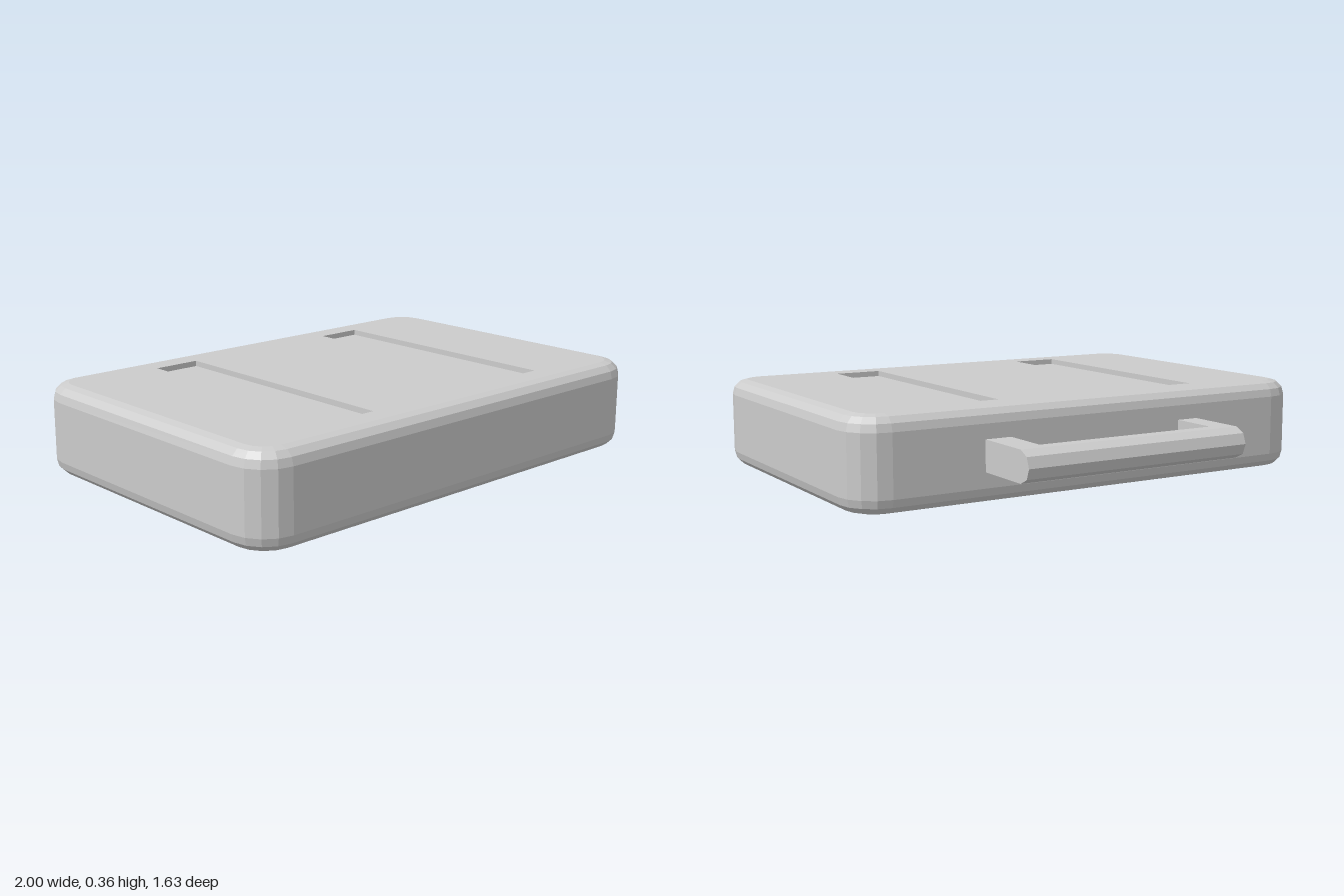
import * as THREE from 'three';

const material = new THREE.MeshStandardMaterial({ color: 0xcccccc, flatShading: true });
const HEIGHT = 0.357, BEVEL = 0.06, RADIUS = 0.145, CENTRE_Z = 0.147;
const HALF_X = 1, HALF_Z = 0.665;
const SLOT = { x: 0.447, z: 0.145, width: 0.193, length: 1.036, depth: 0.022 };

function addMesh(parent, name, geometry) {
  const mesh = new THREE.Mesh(geometry, material);
  mesh.name = name;
  parent.add(mesh);
  return mesh;
}

// Rounded rectangle in plan, shrunk by an inset; four facets per corner
function outline(inset) {
  const r = RADIUS - inset, points = [];
  const corners = [[1, 1], [-1, 1], [-1, -1], [1, -1]];
  corners.forEach(([sx, sz], c) => {
    for (let i = 0; i <= 4; i++) {
      const a = (c + i / 4) * Math.PI / 2;
      points.push(new THREE.Vector2(
        sx * (HALF_X - RADIUS) + r * Math.cos(a),
        sz * (HALF_Z - RADIUS) + r * Math.sin(a)));
    }
  });
  return points;
}

// Side wall with bevelled top and bottom rims, joined from stacked outlines
function shellGeometry() {
  const levels = [];
  for (let i = 0; i <= 3; i++) {
    const a = i / 3 * Math.PI / 2;
    levels.push([BEVEL * (1 - Math.sin(a)), BEVEL * (1 - Math.cos(a))]);
  }
  levels.push(...levels.map(([inset, y]) => [inset, HEIGHT - y]).reverse());
  const positions = [], index = [];
  const count = outline(0).length;
  levels.forEach(([inset, y]) =>
    outline(inset).forEach(p => positions.push(p.x, y, p.y + CENTRE_Z)));
  for (let l = 0; l < levels.length - 1; l++) {
    for (let i = 0; i < count; i++) {
      const a = l * count + i, b = l * count + (i + 1) % count;
      index.push(a, a + count, b, b, a + count, b + count);
    }
  }
  const geometry = new THREE.BufferGeometry();
  geometry.setAttribute('position', new THREE.Float32BufferAttribute(positions, 3));
  geometry.setIndex(index);
  geometry.computeVertexNormals();
  return geometry;
}

// Open-topped pocket: a box turned inside out without its upper face
function pocketGeometry(width, depth, length) {
  const box = new THREE.BoxGeometry(width, depth, length);
  const source = Array.from(box.index.array), index = [];
  for (let i = 0; i < source.length; i += 3) {
    if (i >= 12 && i < 18) continue;
    index.push(source[i], source[i + 2], source[i + 1]);
  }
  box.setIndex(index);
  box.computeVertexNormals();
  return box;
}

export function createModel() {
  const model = new THREE.Group();
  model.name = 'briefcase';

  // Case body
  const body = new THREE.Group();
  body.name = 'caseBody';
  model.add(body);
  addMesh(body, 'caseSides', shellGeometry());

  // Flat lid with two slot openings
  const lid = new THREE.Shape(outline(BEVEL));
  for (const side of [-1, 1]) {
    const x = side * SLOT.x, y = CENTRE_Z - SLOT.z;
    const w = SLOT.width / 2, l = SLOT.length / 2;
    lid.holes.push(new THREE.Path([
      new THREE.Vector2(x - w, y - l), new THREE.Vector2(x - w, y + l),
      new THREE.Vector2(x + w, y + l), new THREE.Vector2(x + w, y - l)]));
    const pocket = addMesh(body, side > 0 ? 'leftSlot' : 'rightSlot',
      pocketGeometry(SLOT.width, SLOT.depth, SLOT.length));
    pocket.position.set(x, HEIGHT - SLOT.depth / 2, SLOT.z);
  }
  const top = addMesh(body, 'caseTop', new THREE.ShapeGeometry(lid));
  top.rotation.x = -Math.PI / 2;
  top.position.set(0, HEIGHT, CENTRE_Z);

  const base = addMesh(body, 'caseBottom', new THREE.ShapeGeometry(new THREE.Shape(outline(BEVEL))));
  base.rotation.x = Math.PI / 2;
  base.position.z = CENTRE_Z;

  // Carrying handle: grip bar with a rounded outer edge, on two arms
  const handle = new THREE.Group();
  handle.name = 'handle';
  model.add(handle);
  const x0 = -0.468, x1 = 0.488, backZ = -0.711, y = 0.18, h = 0.06;
  const profile = new THREE.Shape([
    [0.711, -h], [0.76, -h], [0.8, -0.04], [0.815, 0],
    [0.8, 0.04], [0.76, h], [0.711, h]].map(p => new THREE.Vector2(...p)));
  const grip = addMesh(handle, 'handleGrip',
    new THREE.ExtrudeGeometry(profile, { depth: x1 - x0, bevelEnabled: false }));
  grip.rotation.y = Math.PI / 2;
  grip.position.set(x0, y, 0);

  for (const [name, a, b] of [['rightArm', x0, -0.378], ['leftArm', 0.381, x1]]) {
    const frontZ = -0.51;
    const arm = addMesh(handle, name, new THREE.BoxGeometry(b - a, 2 * h, frontZ - backZ));
    arm.position.set((a + b) / 2, y, (frontZ + backZ) / 2);
  }
  return model;
}
